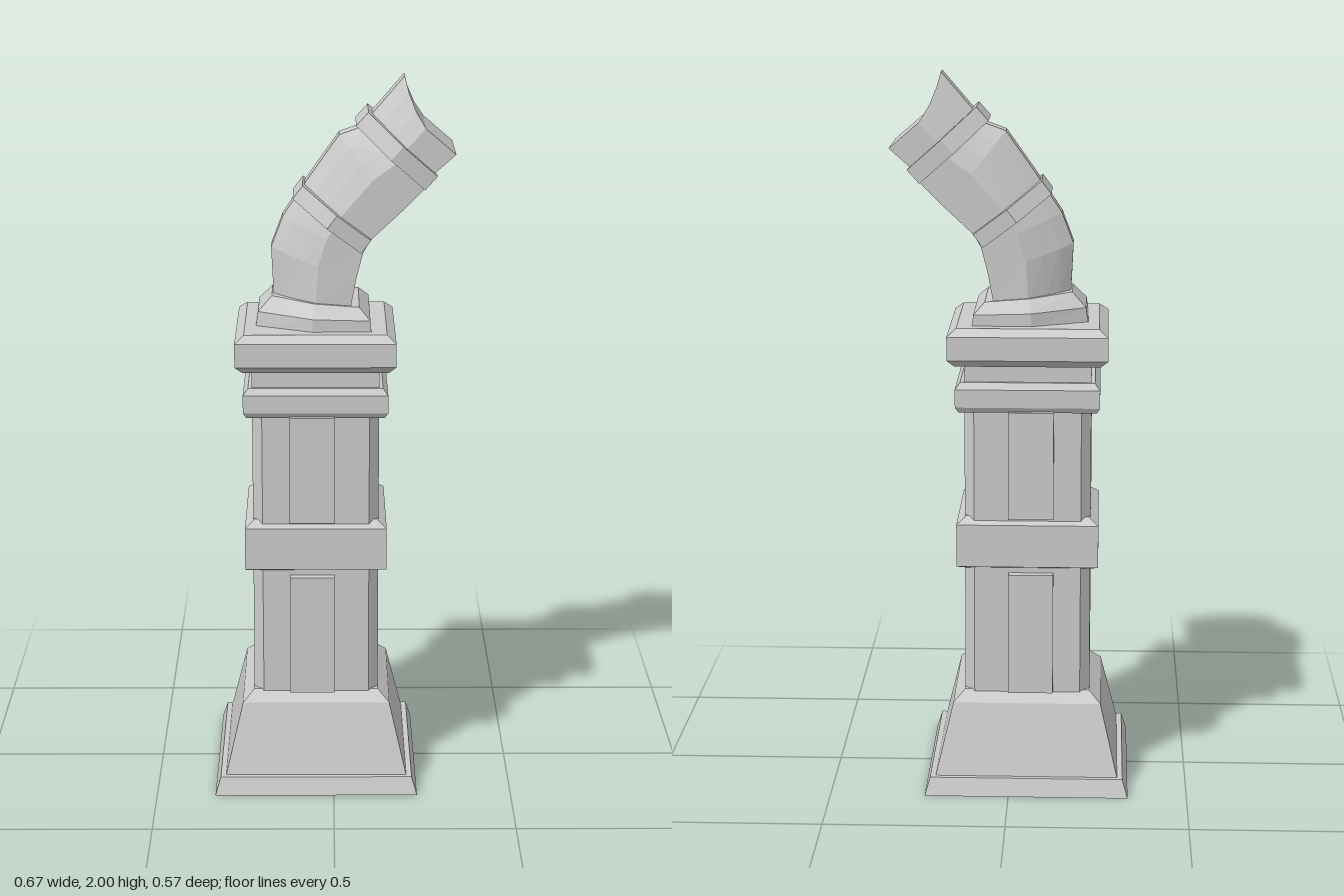
import * as THREE from 'three';

const CX = -0.05; // axis of the column

const mat = new THREE.MeshStandardMaterial({ color: 0xcccccc, flatShading: true });

function part(name, geometry) {
  const mesh = new THREE.Mesh(geometry, mat);
  mesh.name = name;
  return mesh;
}

// Square moulding: profile of [halfWidth, y] from bottom to top, closed at both ends
function squareMoulding(name, profile, depth = 1) {
  const full = [[0, profile[0][1]], ...profile, [0, profile[profile.length - 1][1]]];
  const points = full.map(([h, y]) => new THREE.Vector2(h * Math.SQRT2, y));
  let geo = new THREE.LatheGeometry(points, 4, Math.PI / 4).toNonIndexed();
  geo.scale(1, 1, depth);
  geo.translate(CX, 0, 0);
  geo.computeVertexNormals();
  return part(name, geo);
}

// Column shaft: rectangle with cut corners
function shaft(name, y0, y1) {
  const w = 0.175, d = 0.18, c = 0.027;
  const outline = [[w, -d + c], [w, d - c], [w - c, d], [c - w, d], [-w, d - c], [-w, c - d], [c - w, -d], [w - c, -d]];
  const shape = new THREE.Shape(outline.map(([x, y]) => new THREE.Vector2(x, y)));
  const geo = new THREE.ExtrudeGeometry(shape, { depth: y1 - y0, bevelEnabled: false });
  geo.rotateX(-Math.PI / 2);
  geo.translate(CX, y0, 0);
  return part(name, geo);
}

// Loft of a symmetric section. half: [t, z] from outer (t=0) to inner (t=1) side.
// stations: [outerX, outerY, innerX, innerY, zScale, bow]
function loft(name, half, stations) {
  const loop = [...half, ...half.map(([t, z]) => [t, -z]).reverse()];
  const n = loop.length, pos = [], idx = [];
  for (const [ox, oy, ix, iy, zs = 1, bow = 0] of stations) {
    for (const [t, z] of loop) {
      const b = bow * 4 * t * (1 - t);
      pos.push(ox + (ix - ox) * t - b, oy + (iy - oy) * t - b, z * zs);
    }
  }
  const quad = (a, b, c, d) => idx.push(a, b, c, a, c, d);
  for (let s = 0; s < stations.length - 1; s++) {
    for (let i = 0; i < n; i++) {
      const j = (i + 1) % n;
      quad(s * n + i, s * n + j, (s + 1) * n + j, (s + 1) * n + i);
    }
  }
  const top = (stations.length - 1) * n;
  for (let i = 0; i < half.length - 1; i++) {
    quad(n - 1 - i, n - 2 - i, i + 1, i);
    quad(top + i, top + i + 1, top + n - 2 - i, top + n - 1 - i);
  }
  let geo = new THREE.BufferGeometry();
  geo.setAttribute('position', new THREE.Float32BufferAttribute(pos, 3));
  geo.setIndex(idx);
  geo = geo.toNonIndexed();
  geo.computeVertexNormals();
  return part(name, geo);
}

// U-shaped collar straddling the pipe, from its outer to its inner side
function collar(name, ox, oy, ix, iy, thick) {
  const len = Math.hypot(ix - ox, iy - oy);
  const half = [[0, 0.075], [0.5 * len, 0.14], [len, 0.13], [len, 0.1], [0.6 * len, 0.1]];
  const outline = [...half, ...half.map(([t, z]) => [t, -z]).reverse()];
  const shape = new THREE.Shape(outline.map(([x, y]) => new THREE.Vector2(x, y)));
  const geo = new THREE.ExtrudeGeometry(shape, { depth: thick, bevelEnabled: false });
  geo.translate(0, 0, -thick / 2);
  const across = new THREE.Vector3(ix - ox, iy - oy, 0).normalize();
  const side = new THREE.Vector3(0, 0, 1);
  const along = new THREE.Vector3().crossVectors(across, side);
  geo.applyMatrix4(new THREE.Matrix4().makeBasis(across, side, along));
  geo.translate(ox, oy, 0);
  return part(name, geo);
}

export function createModel() {
  const model = new THREE.Group();
  model.name = 'chimney';

  // Base and column
  model.add(
    squareMoulding('footing', [[0.285, 0], [0.27, 0.05]]),
    squareMoulding('plinth', [[0.255, 0.05], [0.207, 0.25], [0.175, 0.28]]),
    shaft('lowerShaft', 0.26, 0.66),
    squareMoulding('middleBand', [[0.17, 0.635], [0.197, 0.645], [0.197, 0.765], [0.17, 0.785]], 0.98),
    shaft('upperShaft', 0.76, 1.11),
    squareMoulding('upperBand', [[0.19, 1.085], [0.199, 1.1], [0.199, 1.15], [0.185, 1.168]], 0.99),
    squareMoulding('neck', [[0.175, 1.16], [0.175, 1.23]]),
    squareMoulding('cap', [[0.2, 1.215], [0.22, 1.235], [0.22, 1.3], [0.195, 1.32]], 0.98),
  );

  // Raised panels on the front and back of both shafts
  for (const [label, y0, y1] of [['lower', 0.28, 0.625], ['upper', 0.785, 1.088]]) {
    for (const side of [1, -1]) {
      const panel = part(`${label}${side > 0 ? 'Front' : 'Back'}Panel`, new THREE.BoxGeometry(0.125, y1 - y0, 0.035));
      panel.position.set(-0.06, (y0 + y1) / 2, side * 0.1875);
      model.add(panel);
    }
  }

  // Pipe foot on the cap
  model.add(loft('pipeFoot', [[0, 0.085], [0.49, 0.16], [1, 0.155]], [
    [-0.215, 1.315, 0.103, 1.315],
    [-0.208, 1.36, 0.1, 1.35],
    [-0.17, 1.4, 0.07, 1.38, 0.77],
  ]));

  // Bent pipe with its hollowed mouth
  model.add(loft('bentPipe', [[0, 0.03], [0.15, 0.06], [0.35, 0.09], [0.55, 0.115], [1, 0.112]], [
    [-0.165, 1.38, 0.045, 1.37],
    [-0.172, 1.53, 0.062, 1.46],
    [-0.14, 1.615, 0.08, 1.53],
    [-0.07, 1.72, 0.1, 1.565],
    [0.015, 1.84, 0.18, 1.64],
    [0.07, 1.86, 0.24, 1.7],
    [0.115, 1.91, 0.268, 1.745],
    [0.192, 2.0, 0.33, 1.8, 1, 0.02],
  ]));
  model.add(
    collar('lowerCollar', -0.098, 1.69, 0.088, 1.55, 0.045),
    collar('upperCollar', 0.077, 1.89, 0.263, 1.725, 0.05),
  );
  return model;
}
